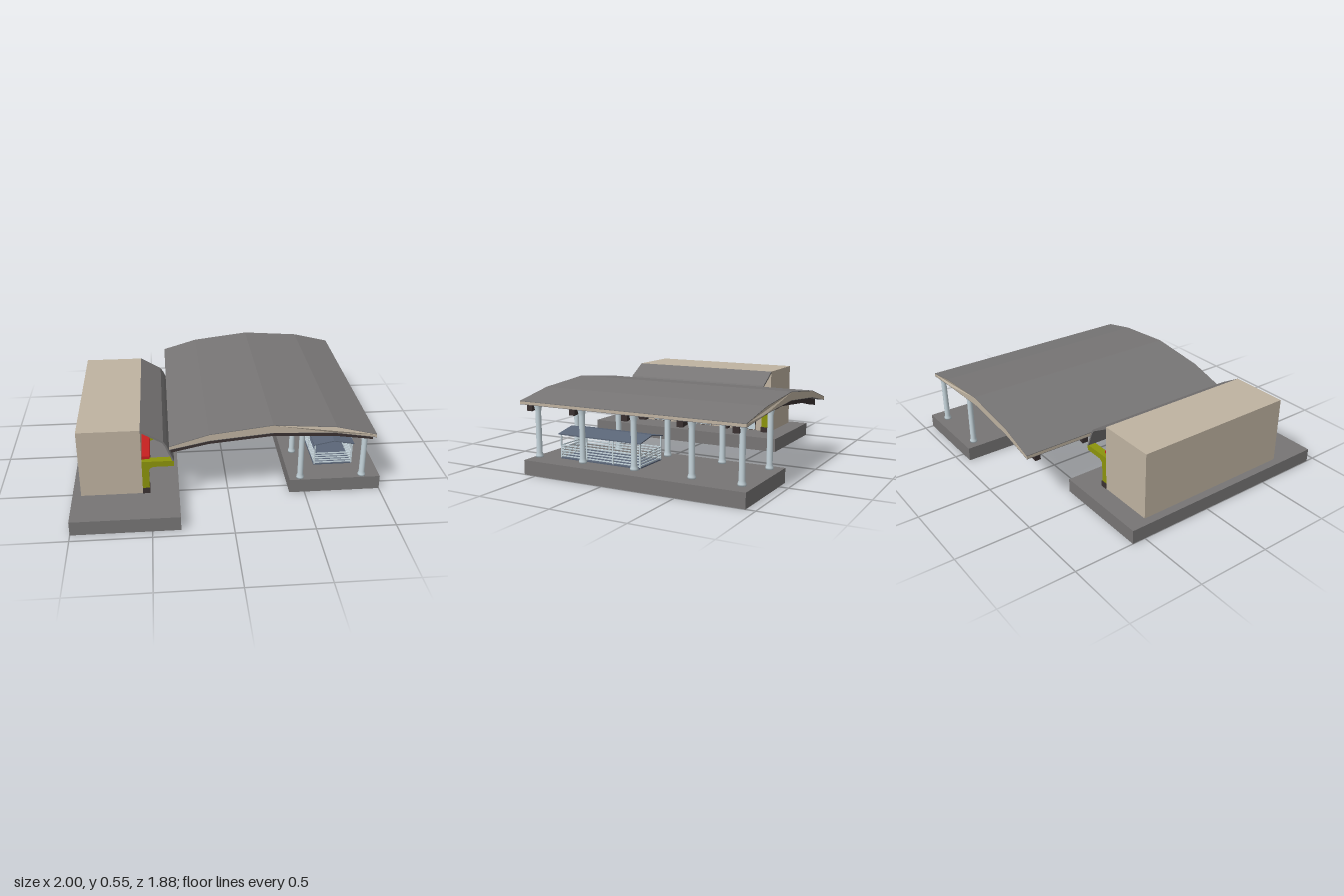
import * as THREE from 'three';

const material = (name, color, side = THREE.FrontSide) => {
  const m = new THREE.MeshStandardMaterial({ color, side });
  m.name = name;
  return m;
};

export function createModel() {
  const gray = material('concrete gray', 0x777575);
  const beige = material('beige plaster', 0xbfb3a1);
  const olive = material('olive paint', 0x8c940c);
  const red = material('red paint', 0xc82020);
  const dark = material('dark beam', 0x3a3131);
  const pale = material('pale steel', 0xc6d5dc);
  const slate = material('slate sheet', 0x5b6678);

  const root = new THREE.Group();
  const group = (name) => {
    const g = new THREE.Group();
    g.name = name;
    root.add(g);
    return g;
  };
  const add = (parent, name, geometry, mat) => {
    const mesh = new THREE.Mesh(geometry, mat);
    mesh.name = name;
    parent.add(mesh);
    return mesh;
  };
  // Box given by its limits on each axis
  const box = (parent, name, mat, x0, x1, y0, y1, z0, z1) => {
    const g = new THREE.BoxGeometry(x1 - x0, y1 - y0, z1 - z0);
    g.translate((x0 + x1) / 2, (y0 + y1) / 2, (z0 + z1) / 2);
    return add(parent, name, g, mat);
  };
  // Front outline swept along z
  const sweep = (shape, z0, z1) => {
    const g = new THREE.ExtrudeGeometry(shape, { depth: z1 - z0, bevelEnabled: false, curveSegments: 6 });
    return g.translate(0, 0, z0);
  };
  // Closed outline between an upper and a lower line
  const band = (upper, lower) => new THREE.Shape(
    [...lower, ...[...upper].reverse()].map(([x, y]) => new THREE.Vector2(x, y)));
  const lift = (line, dy) => line.map(([x, y]) => [x, y + dy]);

  // Platforms
  const platforms = group('platforms');
  box(platforms, 'leftPlatform', gray, -1, -0.325, 0, 0.094, -0.59, 0.94);
  box(platforms, 'rightPlatform', gray, 0.4, 1, 0, 0.094, -0.94, 0.585);

  // Station building with glazed doors
  const building = group('building');
  box(building, 'buildingBody', beige, -0.945, -0.555, 0.094, 0.545, -0.46, 0.655);
  for (const [z0, z1] of [[0.39, 0.53], [0.03, 0.16], [-0.34, -0.2]]) {
    box(building, 'doorFrame', dark, -0.556, -0.552, 0.096, 0.246, z0 - 0.004, z1 + 0.004);
    box(building, 'doorPanel', pale, -0.556, -0.549, 0.1, 0.242, z0, z1);
  }

  // Bent side canopy
  const canopyTop = [[-0.555, 0.545], [-0.415, 0.462], [-0.395, 0.43], [-0.352, 0.32]];
  const canopyUnder = [[-0.555, 0.53], [-0.422, 0.452], [-0.405, 0.425], [-0.363, 0.32]];
  add(building, 'sideCanopy', sweep(band(canopyTop, canopyUnder), -0.46, 0.655), gray);

  // Olive brackets, their feet and the red beam linking them
  const bracket = new THREE.Shape();
  bracket.moveTo(-0.555, 0.13);
  bracket.lineTo(-0.511, 0.13);
  bracket.lineTo(-0.511, 0.245);
  bracket.quadraticCurveTo(-0.511, 0.284, -0.472, 0.284);
  bracket.lineTo(-0.353, 0.284);
  bracket.lineTo(-0.353, 0.322);
  bracket.lineTo(-0.555, 0.322);
  bracket.closePath();
  const supports = group('canopySupports');
  for (const z of [0.628, 0.28, -0.1, -0.433]) {
    add(supports, 'bracket', sweep(bracket, z - 0.026, z + 0.026), olive);
    box(supports, 'bracketFoot', dark, -0.555, -0.507, 0.094, 0.132, z - 0.031, z + 0.031);
  }
  box(supports, 'redBeam', red, -0.555, -0.504, 0.286, 0.341, -0.43, 0.62);

  // Arched main roof: beige slab with gray sheets above and below
  const roof = group('mainRoof');
  const top = [[-0.38, 0.42], [-0.13, 0.493], [0.27, 0.541], [0.67, 0.512], [0.925, 0.455]];
  const under = [[-0.38, 0.4], [-0.13, 0.452], [0.27, 0.49], [0.67, 0.472], [0.925, 0.437]];
  const layers = [
    ['roofSlab', beige, lift(top, -0.001), under],
    ['roofSheet', gray, lift(top, 0.003), lift(top, -0.001)],
    ['roofCeiling', gray, under, lift(under, -0.003)],
  ];
  for (const [name, mat, upper, lower] of layers) {
    const g = sweep(band(upper, lower), -0.92, 0.65);
    const p = g.attributes.position;
    // The outer eave is slightly skewed
    for (let i = 0; i < p.count; i++) if (p.getX(i) > 0.9) p.setZ(i, p.getZ(i) + 0.014);
    g.computeVertexNormals();
    add(roof, name, g, mat);
  }
  // Curved ribs
  const ribTop = under.map(([x, y], i) => [i === 0 ? -0.372 : i === 4 ? 0.917 : x, y - 0.002]);
  const rib = band(ribTop, lift(ribTop, -0.04));
  for (const z of [0.595, 0.265, -0.115, -0.49, -0.84]) {
    add(roof, 'roofRib', sweep(rib, z - 0.02, z + 0.02), dark);
  }

  // Two rows of columns with flared bases and capitals
  const columns = group('columns');
  const columnProfile = (h) => [
    [0, 0], [0.025, 0], [0.025, 0.012], [0.019, 0.03], [0.018, h - 0.05], [0.026, h - 0.012], [0.026, h], [0, h],
  ].map(([r, y]) => new THREE.Vector2(r, y));
  for (const [x, y] of [[0.472, 0.478], [0.882, 0.44]]) {
    const g = new THREE.LatheGeometry(columnProfile(y - 0.094), 16);
    for (const z of [0.555, 0.215, -0.16, -0.55, -0.865]) {
      add(columns, 'column', g, pale).position.set(x, 0.094, z);
    }
  }

  // Railed shelter on the right platform
  const shelter = group('shelter');
  const [x0, x1, z0, z1] = [0.595, 0.846, -0.18, 0.405];
  const t = 0.004;
  box(shelter, 'shelterFloor', slate, x0 - 0.005, x1 + 0.005, 0.094, 0.102, z0, z1);
  for (let i = 0; i < 4; i++) {
    const z = z0 + (z1 - z0) * i / 3;
    for (const x of [x0, x1]) box(shelter, 'shelterPost', pale, x - t, x + t, 0.1, 0.257, z - t, z + t);
  }
  for (let i = 0; i < 5; i++) {
    const y = 0.112 + i * 0.0172;
    for (const x of [x0, x1]) box(shelter, 'sideRail', pale, x - 0.003, x + 0.003, y - 0.0035, y + 0.0035, z0, z1);
    for (const z of [z0, z1]) box(shelter, 'endRail', pale, x0, x1, y - 0.0035, y + 0.0035, z - 0.003, z + 0.003);
  }
  const ridge = [[0.585, 0.256], [0.72, 0.282], [0.856, 0.256]];
  add(shelter, 'shelterRoof', sweep(band(ridge, lift(ridge, -0.007)), -0.19, 0.42), slate);

  return root;
}
